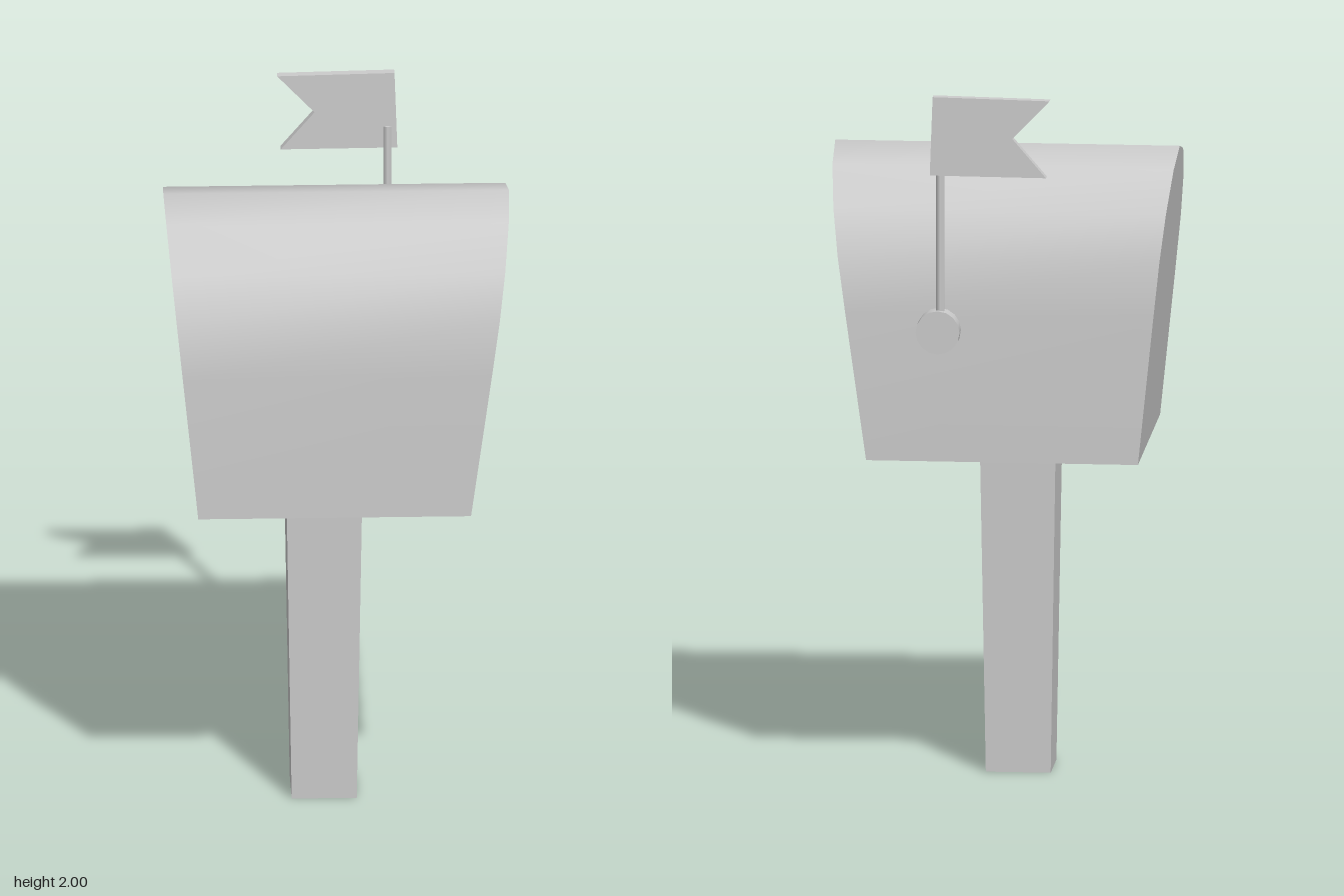
import * as THREE from 'three';
import { toCreasedNormals } from 'three/addons/utils/BufferGeometryUtils.js';

export function createModel() {
  const group = new THREE.Group();
  const material = new THREE.MeshStandardMaterial({ color: 0xcccccc });
  const add = (name, geometry, x, y, z) => {
    const mesh = new THREE.Mesh(geometry, material);
    mesh.name = name;
    mesh.position.set(x, y, z);
    group.add(mesh);
    return mesh;
  };
  const polygon = (points) => new THREE.Shape(points.map(([x, y]) => new THREE.Vector2(x, y)));

  // Box body: arched profile run along x, both ends leaning outwards towards the top
  const bottom = 0.945, top = 1.79;
  const half = [[0.3525, bottom], [0.3525, 1.365], [0.342, 1.525], [0.28, 1.65], [0.151, 1.752]];
  const mirrored = half.map(([z, y]) => [-z, y]).reverse();
  let body = new THREE.ExtrudeGeometry(polygon([...half, [0, top], ...mirrored]), { depth: 1, bevelEnabled: false });
  body.rotateY(Math.PI / 2);
  const p = body.attributes.position;
  for (let i = 0; i < p.count; i++) {
    const t = (p.getY(i) - bottom) / (top - bottom);
    p.setX(i, p.getX(i) > 0.5 ? 0.367 + 0.118 * t : -0.4 - 0.087 * t);
  }
  body = toCreasedNormals(body, 0.7);
  add('mailboxBody', body, 0, 0, 0.0245);

  // Square post, slightly wider at the top
  const post = new THREE.CylinderGeometry(0.107 * Math.SQRT2, 0.0915 * Math.SQRT2, 0.95, 4);
  post.rotateY(Math.PI / 4);
  add('post', toCreasedNormals(post, 0.5), -0.038, 0.475, 0.038);

  // Flag pivot, rod and swallow-tailed flag on the back
  const pivot = new THREE.CylinderGeometry(0.062, 0.062, 0.052, 16);
  pivot.rotateX(Math.PI / 2);
  add('flagPivot', pivot, 0.161, 1.324, -0.351);
  add('flagRod', new THREE.CylinderGeometry(0.013, 0.013, 0.5, 6), 0.155, 1.59, -0.352);
  const flag = polygon([[0.183, 1.775], [0.175, 2], [-0.155, 1.994], [-0.05, 1.884], [-0.145, 1.773]]);
  add('flag', new THREE.ExtrudeGeometry(flag, { depth: 0.027, bevelEnabled: false }), 0, 0, -0.375);

  return group;
}
